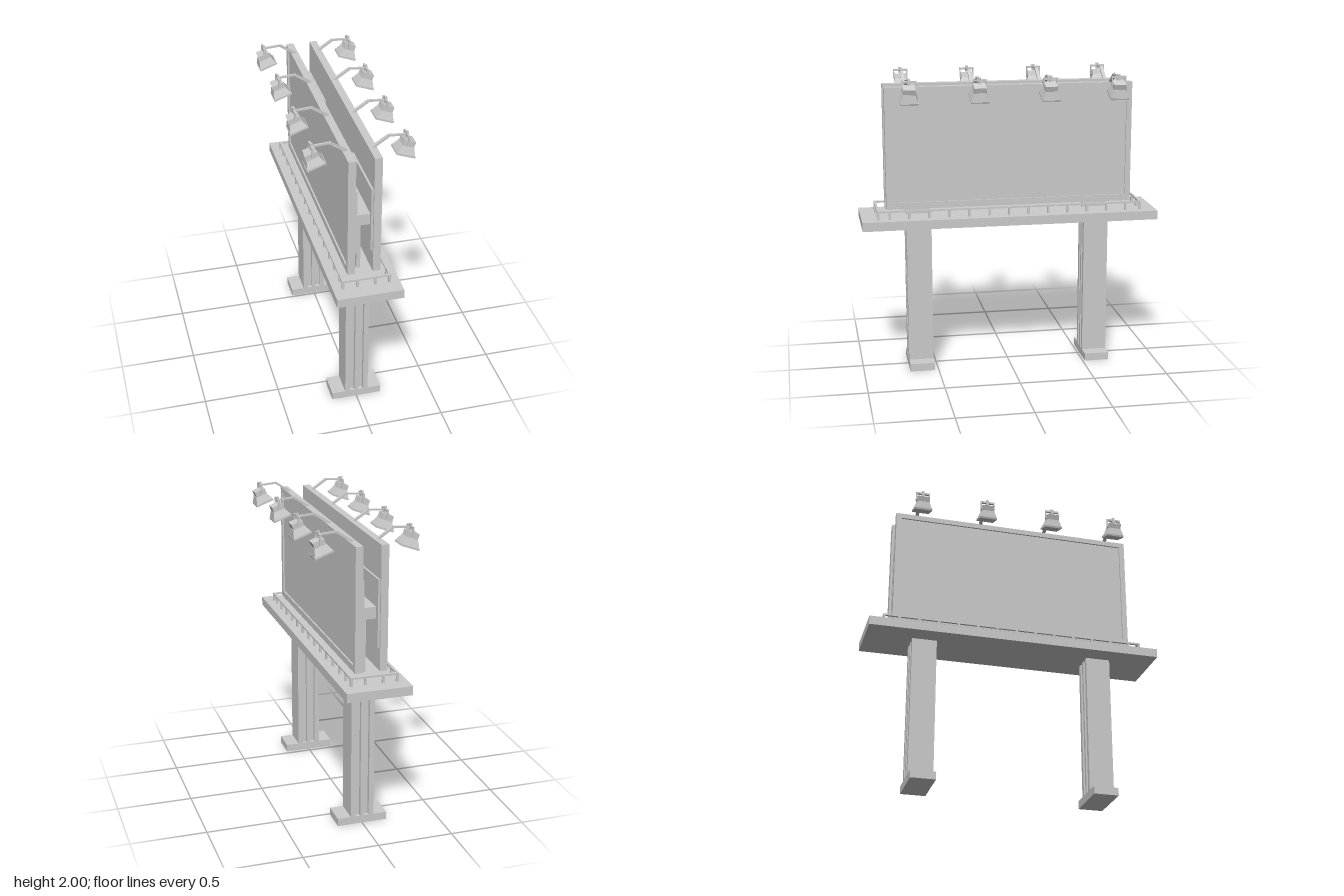
import * as THREE from 'three';

const material = new THREE.MeshStandardMaterial({ color: 0xcccccc, flatShading: true });

function add(parent, name, geometry, x = 0, y = 0, z = 0) {
  const mesh = new THREE.Mesh(geometry, material);
  mesh.name = name;
  mesh.position.set(x, y, z);
  parent.add(mesh);
  return mesh;
}

// Box given by its min and max corner
function box(parent, name, [x0, y0, z0], [x1, y1, z1]) {
  return add(parent, name, new THREE.BoxGeometry(x1 - x0, y1 - y0, z1 - z0),
    (x0 + x1) / 2, (y0 + y1) / 2, (z0 + z1) / 2);
}

// Square bar between two points in the x-y plane
function bar(parent, name, [x0, y0], [x1, y1], thick, width) {
  const mesh = add(parent, name,
    new THREE.BoxGeometry(Math.hypot(x1 - x0, y1 - y0), thick, width), (x0 + x1) / 2, (y0 + y1) / 2, 0);
  mesh.rotation.z = Math.atan2(y1 - y0, x1 - x0);
}

// Four-sided tapered shade standing on y = 0
function shadeGeometry(bottom, top, height, depthRatio) {
  const g = new THREE.CylinderGeometry(top / Math.SQRT2, bottom / Math.SQRT2, height, 4);
  g.rotateY(Math.PI / 4);
  g.scale(1, 1, depthRatio);
  g.translate(0, height / 2, 0);
  return g;
}

function createColumn(z) {
  const column = new THREE.Group();
  column.name = 'column';
  const h = 0.083;
  for (const s of [-1, 1]) {
    const flange = new THREE.BoxGeometry(0.033, 1, 2 * h);
    add(column, 'columnFlange', flange, s * 0.0615, 0.5, 0);
  }
  box(column, 'columnCore', [-0.046, 0, -h + 0.025], [0.046, 1, h - 0.025]);
  box(column, 'columnWeb', [-0.013, 0, -h], [0.013, 1.45, h]);
  box(column, 'columnFoot', [-0.167, 0, -h], [0.167, 0.052, h]);
  // Cross beam tying the two panels together
  box(column, 'crossBeam', [-0.046, 1.445, -0.18], [0.046, 1.52, 0.18]);
  column.position.z = z;
  return column;
}

function createLamp(z) {
  const lamp = new THREE.Group();
  lamp.name = 'lamp';
  // Bent arm
  bar(lamp, 'lampArmLower', [0.07, 1.912], [0.18, 1.985], 0.014, 0.022);
  bar(lamp, 'lampArmUpper', [0.175, 1.987], [0.3, 1.978], 0.012, 0.014);
  // Yoke holding the housing
  box(lamp, 'yokeStem', [0.287, 1.96, -0.009], [0.303, 2, 0.009]);
  box(lamp, 'yokeTop', [0.288, 1.975, -0.048], [0.302, 1.988, 0.048]);
  for (const s of [-1, 1]) {
    add(lamp, 'yokeSide', new THREE.BoxGeometry(0.014, 0.06, 0.008), 0.295, 1.955, s * 0.044);
  }
  // Head tilted back toward the panel
  const head = new THREE.Group();
  head.name = 'lampHead';
  add(head, 'lampRim', new THREE.BoxGeometry(0.125, 0.012, 0.118), 0, 0.006, 0);
  add(head, 'lampShade', shadeGeometry(0.118, 0.08, 0.048, 0.98), 0, 0.012, 0);
  add(head, 'lampHousing', new THREE.BoxGeometry(0.075, 0.036, 0.08), 0, 0.078, 0);
  head.position.set(0.273, 1.858, 0);
  head.rotation.z = -0.35;
  lamp.add(head);
  lamp.position.z = z;
  return lamp;
}

// One display side, facing +x
function createSide() {
  const side = new THREE.Group();
  side.name = 'displaySide';
  box(side, 'panelBoard', [0.057, 1.115, -0.823], [0.095, 1.922, 0.823]);
  // Raised border
  const rect = (Type, w, y0, y1) => new Type().moveTo(-w, y0).lineTo(w, y0).lineTo(w, y1).lineTo(-w, y1).closePath();
  const shape = rect(THREE.Shape, 0.823, 1.115, 1.922);
  shape.holes.push(rect(THREE.Path, 0.787, 1.158, 1.887));
  const border = new THREE.ExtrudeGeometry(shape, { depth: 0.012, bevelEnabled: false });
  border.rotateY(Math.PI / 2);
  add(side, 'panelBorder', border, 0.094, 0, 0);
  // Backing plates
  for (const s of [-1, 1]) {
    add(side, 'backingPlate', new THREE.BoxGeometry(0.014, 0.44, 0.455), 0.051, 1.482, s * 0.582);
  }
  for (const z of [-0.68, -0.23, 0.23, 0.68]) side.add(createLamp(z));
  return side;
}

function createRailing() {
  const railing = new THREE.Group();
  railing.name = 'railing';
  const x = 0.15, z = 0.883, t = 0.015;
  const post = new THREE.BoxGeometry(t, 0.05, t);
  for (const s of [-1, 1]) {
    add(railing, 'sideRail', new THREE.BoxGeometry(t, 0.012, 2 * z + t), s * x, 1.112, 0);
    add(railing, 'endRail', new THREE.BoxGeometry(2 * x + t, 0.012, t), 0, 1.112, s * z);
    for (const px of [-x, -0.058, 0.058, x]) add(railing, 'endPost', post, px, 1.083, s * z);
    for (let i = 0; i < 13; i++) add(railing, 'sidePost', post, s * x, 1.083, -0.782 + i * 0.1325);
  }
  return railing;
}

export function createModel() {
  const model = new THREE.Group();
  model.name = 'billboard';
  box(model, 'platform', [-0.214, 1, -0.99], [0.214, 1.06, 0.99]);
  model.add(createColumn(0.608), createColumn(-0.597), createRailing());
  const left = createSide();
  const right = createSide();
  right.rotation.y = Math.PI;
  model.add(left, right);
  return model;
}
